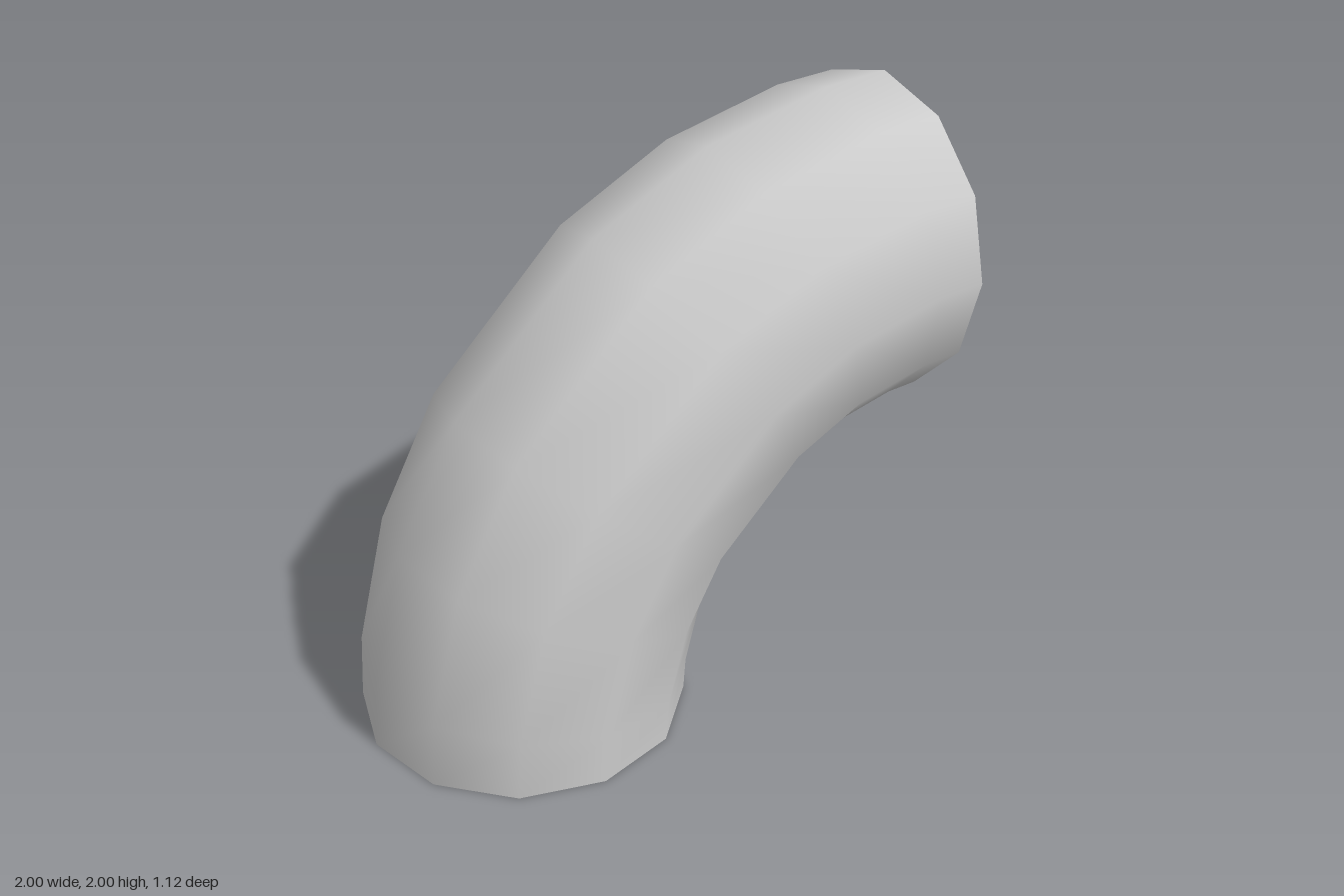
import * as THREE from 'three';

const SIDES = 12;          // facets around the pipe
const PIPE_RADIUS = 0.5625;
const BEND_RADIUS = 1.4375; // centreline radius about the axis x = 1, y = 0
const STEP = Math.PI / 2 / 13;
const RINGS = [0, 1, 3, 5, 8, 10, 12, 13]; // ring angles, in steps

// Bend an open cylinder through a quarter circle
function bentPipe() {
  const rows = RINGS.length - 1;
  const geometry = new THREE.CylinderGeometry(PIPE_RADIUS, PIPE_RADIUS, 1, SIDES, rows, true);
  const { position, normal } = geometry.attributes;
  for (let i = 0; i < position.count; i++) {
    // cylinder rows run from top to bottom
    const row = rows - Math.floor(i / (SIDES + 1));
    const angle = RINGS[row] * STEP;
    const c = Math.cos(angle), s = Math.sin(angle);
    const reach = BEND_RADIUS - position.getX(i);
    position.setXYZ(i, 1 - reach * c, reach * s, position.getZ(i));
    const n = normal.getX(i);
    normal.setXYZ(i, n * c, -n * s, normal.getZ(i));
  }
  return geometry;
}

export function createModel() {
  const group = new THREE.Group();
  group.name = 'pipeElbow';

  // Thin-walled elbow, open at both ends
  const material = new THREE.MeshStandardMaterial({ color: 0xcccccc, side: THREE.DoubleSide });
  const elbow = new THREE.Mesh(bentPipe(), material);
  elbow.name = 'elbowWall';
  group.add(elbow);

  return group;
}
